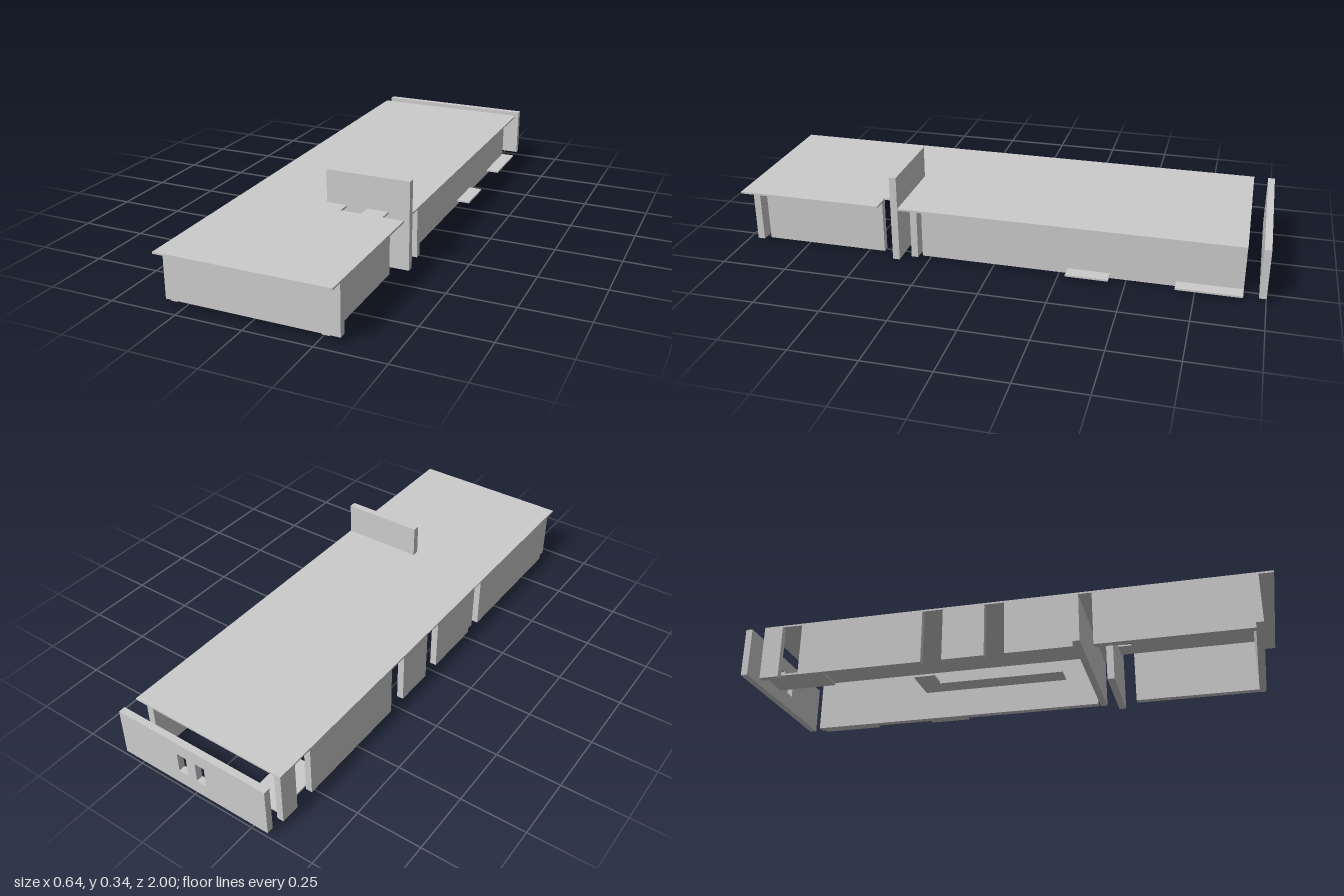
import * as THREE from 'three';

export function createModel() {
  const model = new THREE.Group();
  const material = new THREE.MeshStandardMaterial({ color: 0xcccccc, flatShading: true });

  const add = (name, geometry) => {
    const mesh = new THREE.Mesh(geometry, material);
    mesh.name = name;
    model.add(mesh);
    return mesh;
  };

  // Box given by its extents on each axis
  const block = (name, [x0, x1], [y0, y1], [z0, z1]) =>
    add(name, new THREE.BoxGeometry(x1 - x0, y1 - y0, z1 - z0))
      .position.set((x0 + x1) / 2, (y0 + y1) / 2, (z0 + z1) / 2);

  const outline = (points) => new THREE.Shape(points.map(([x, y]) => new THREE.Vector2(x, y)));

  // Flat plate from an outline in x and z, between two heights
  const plate = (name, points, y0, y1) => {
    const geometry = new THREE.ExtrudeGeometry(outline(points), { depth: y1 - y0, bevelEnabled: false });
    geometry.rotateX(Math.PI / 2);
    add(name, geometry).position.y = y1;
  };

  const W = 0.32;         // half width
  const EAVES = 0.205;    // underside of the roof
  const LIFT = 0.02;      // clearance under the cross walls

  // Roof with a slot for the fin and two notches in front of it
  plate('roof', [
    [-W, -0.92], [W, -0.92], [W, 0.36], [0, 0.36], [0, 0.387],
    [0.08, 0.387], [0.08, 0.44], [0.16, 0.44], [0.16, 0.387],
    [0.24, 0.387], [0.24, 0.44], [W, 0.44], [W, 1], [-W, 1],
  ], EAVES, 0.212);

  // Tall fin standing through the roof
  block('fin', [0, W], [0, 0.337], [0.36, 0.387]);

  // Cross walls over the full width
  block('frontWall', [-W, W], [LIFT, EAVES], [0.92, 0.947]);
  block('middleWall', [-W, W], [LIFT, EAVES], [0.285, 0.311]);

  // Detached back wall with two window openings
  const back = outline([[-W, LIFT], [W, LIFT], [W, 0.212], [-W, 0.212]]);
  for (const x of [-0.06, 0.02]) {
    back.holes.push(outline([[x, 0.08], [x, 0.16], [x + 0.04, 0.16], [x + 0.04, 0.08]]));
  }
  add('backWall', new THREE.ExtrudeGeometry(back, { depth: 0.026, bevelEnabled: false })).position.z = -1;

  // Long side wall at +x, set in from the roof edge
  for (const z of [[0.44, 0.92], [-0.92, 0.285]]) {
    block('insetSideWall', [0.24, 0.268], [0, EAVES], z);
  }

  // Side wall at -x, split by window gaps
  for (const z of [[0.36, 0.92], [0.035, 0.285], [-0.2, -0.04], [-0.765, -0.28], [-0.92, -0.845]]) {
    block('outerSideWall', [-W, -0.294], [0, EAVES], z);
  }

  // Thin floor slabs and outside steps
  const FLOOR = [0.013, 0.02];
  block('sideStep', [0.268, W], FLOOR, [-0.44, -0.28]);
  block('rearStep', [0.268, W], FLOOR, [-0.92, -0.68]);
  block('rearFloorSlab', [-0.294, -0.16], FLOOR, [-0.91, -0.68]);
  plate('middleFloorSlab', [
    [-0.08, 0.2], [0, 0.2], [0, -0.36], [-0.16, -0.36], [-0.16, -0.28], [-0.08, -0.28],
  ], ...FLOOR);

  return model;
}
